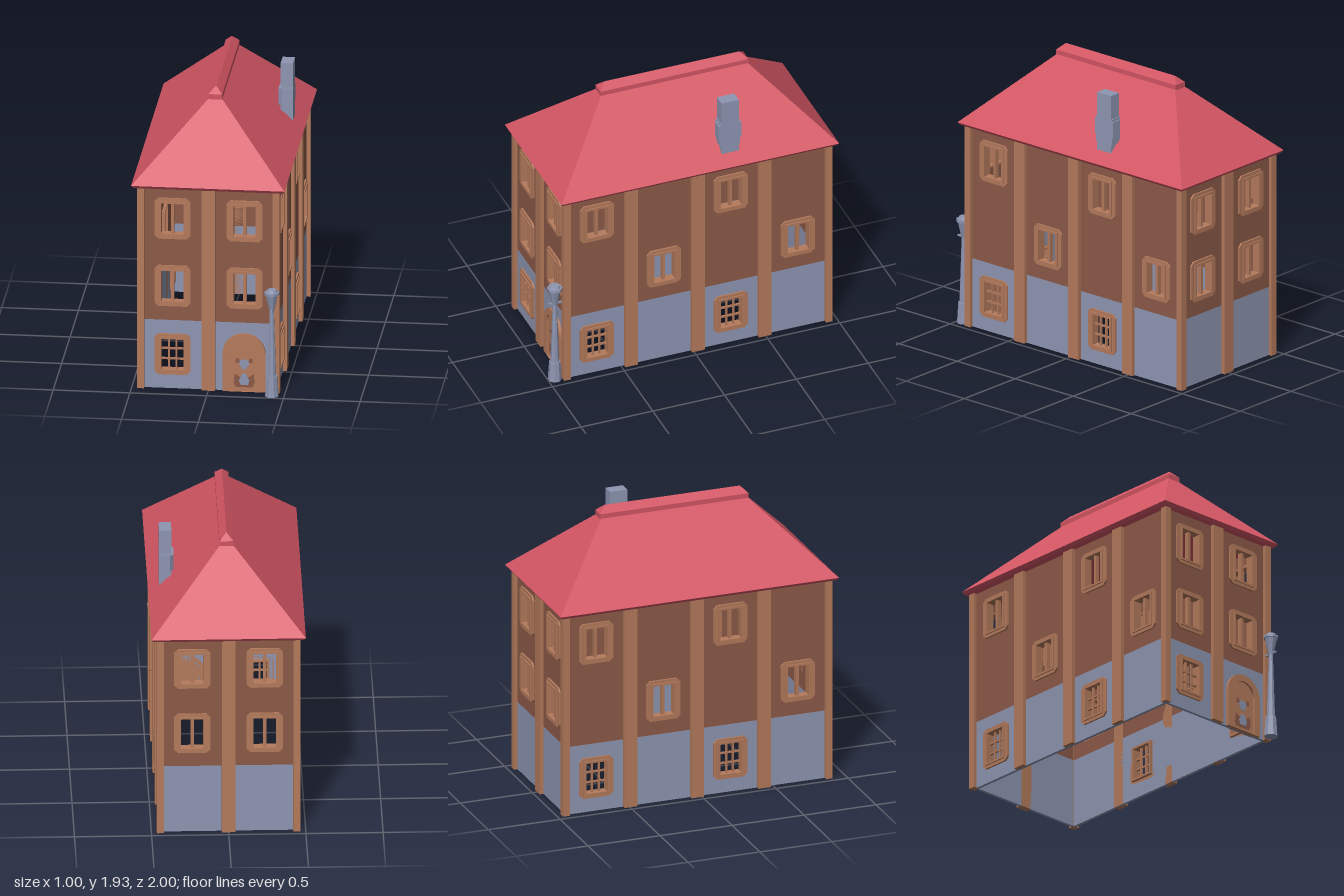
import * as THREE from 'three';

const mat = (name, color) => {
  const m = new THREE.MeshStandardMaterial({ color });
  m.name = name;
  return m;
};

export function createModel() {
  const plaster = mat('brown plaster', 0x8c5a48);
  const wood = mat('light wood', 0xb47a5c);
  const stone = mat('blue grey stone', 0x8e96b2);
  const tile = mat('red tile', 0xd25563);

  const model = new THREE.Group();
  model.name = 'townHouse';
  const house = new THREE.Group();
  house.name = 'house';
  house.position.z = -0.03;
  model.add(house);

  const add = (parent, name, geo, material, x = 0, y = 0, z = 0) => {
    const m = new THREE.Mesh(geo, material);
    m.name = name;
    m.position.set(x, y, z);
    parent.add(m);
    return m;
  };
  const box = (parent, name, material, w, h, d, x, y, z) =>
    add(parent, name, new THREE.BoxGeometry(w, h, d), material, x, y, z);
  const extrude = (shape, depth) =>
    new THREE.ExtrudeGeometry(shape, { depth, bevelEnabled: false, curveSegments: 10 });
  const poly = (pts, Type = THREE.Shape) => new Type(pts.map(p => new THREE.Vector2(...p)));

  // Rectangle outline, optionally with chamfered corners
  const rectPts = (cx, cy, w, h, c = 0) => {
    const x = w / 2, y = h / 2;
    const pts = c
      ? [[-x + c, -y], [x - c, -y], [x, -y + c], [x, y - c], [x - c, y], [-x + c, y], [-x, y - c], [-x, -y + c]]
      : [[-x, -y], [x, -y], [x, y], [-x, y]];
    return pts.map(([a, b]) => [a + cx, b + cy]);
  };
  const ring = (w, h, c, iw, ih) => {
    const s = poly(rectPts(0, 0, w, h, c));
    s.holes.push(poly(rectPts(0, 0, iw, ih).reverse(), THREE.Path));
    return s;
  };

  // Stack of rectangles [halfX, halfZ, y] closed at both ends
  const loft = (levels) => {
    const pos = [];
    const rings = levels.map(([x, z, y]) => [[x, y, z], [x, y, -z], [-x, y, -z], [-x, y, z]]);
    const quad = (a, b, c, d) => [a, b, c, a, c, d].forEach(p => pos.push(...p));
    for (let k = 0; k < rings.length - 1; k++) {
      const a = rings[k], b = rings[k + 1];
      for (let i = 0; i < 4; i++) quad(a[i], a[(i + 1) % 4], b[(i + 1) % 4], b[i]);
    }
    quad(...[...rings[0]].reverse());
    quad(...rings[rings.length - 1]);
    const g = new THREE.BufferGeometry();
    g.setAttribute('position', new THREE.Float32BufferAttribute(pos, 3));
    g.computeVertexNormals();
    return g;
  };

  // Window: stepped frame through the wall, with mullion or lattice
  const LOW = 0.237, MID = 0.708, TOP = 1.172;
  const OW = 0.145, OH = 0.21;
  const makeWindow = (parent, u, y) => {
    const g = new THREE.Group();
    g.name = 'window';
    g.position.set(u, y, 0);
    parent.add(g);
    add(g, 'outerFrame', extrude(ring(0.235, 0.28, 0.025, 0.175, 0.235), 0.032), wood, 0, 0, -0.02);
    add(g, 'innerFrame', extrude(ring(0.178, 0.238, 0, OW, OH), 0.06), wood, 0, 0, -0.04);
    if (y === LOW) {
      for (const s of [-1, 1]) {
        box(g, 'upright', wood, 0.012, OH, 0.014, s * 0.024, 0, -0.01);
        box(g, 'crossbar', wood, OW, 0.012, 0.013, 0, s * 0.035, -0.01);
      }
    } else {
      box(g, 'mullion', wood, 0.02, OH, 0.03, 0, 0, -0.015);
    }
  };

  // Wall: stone base and plaster upper, pierced at each window
  const T = 0.02, SPLIT = 0.47, H = 1.39;
  const makeWall = (name, width, angle, x, z, windows, posts) => {
    const g = new THREE.Group();
    g.name = name;
    g.rotation.y = angle;
    g.position.set(x, 0, z);
    house.add(g);
    for (const [part, y0, y1, m] of [['stoneBase', 0, SPLIT, stone], ['plasterWall', SPLIT, H, plaster]]) {
      const s = poly(rectPts(0, (y0 + y1) / 2, width, y1 - y0));
      for (const [u, y] of windows) {
        if (y > y0 && y < y1) s.holes.push(poly(rectPts(u, y, 0.17, 0.23).reverse(), THREE.Path));
      }
      add(g, part, extrude(s, T), m, 0, 0, -T);
    }
    windows.forEach(([u, y]) => makeWindow(g, u, y));
    posts.forEach(u => box(g, 'post', wood, 0.088, H, 0.045, u, H / 2, 0.0025));
    return g;
  };

  const WX = 0.44, WZ = 0.91;
  const pair = [[-0.235, TOP], [0.235, TOP], [-0.235, MID], [0.235, MID]];
  const sideWindows = [[-0.7, TOP], [-0.7, LOW], [-0.233, MID], [0.233, TOP], [0.233, LOW], [0.7, MID]];
  const sidePosts = [-0.465, 0, 0.465];
  const front = makeWall('frontWall', WX * 2, 0, 0, WZ, [...pair, [-0.235, LOW]], [0]);
  makeWall('backWall', WX * 2, Math.PI, 0, -WZ, pair, [0]);
  makeWall('leftWall', WZ * 2, Math.PI / 2, WX, 0, sideWindows, sidePosts);
  makeWall('rightWall', WZ * 2, -Math.PI / 2, -WX, 0, sideWindows, sidePosts);
  for (const sx of [-1, 1]) for (const sz of [-1, 1]) {
    box(house, 'cornerPost', wood, 0.046, H, 0.046, sx * 0.442, H / 2, sz * 0.912);
  }

  // Arched door
  const arch = (r, spring, Type = THREE.Shape) => {
    const s = new Type();
    s.moveTo(-r, 0);
    s.lineTo(r, 0);
    s.lineTo(r, spring);
    s.absarc(0, spring, r, 0, Math.PI, false);
    s.lineTo(-r, 0);
    return s;
  };
  const door = new THREE.Group();
  door.name = 'door';
  door.position.set(0.232, 0, 0);
  front.add(door);
  const surround = arch(0.14, 0.258);
  surround.holes.push(arch(0.094, 0.258, THREE.Path));
  add(door, 'doorFrame', extrude(surround, 0.04), wood, 0, 0, -0.02);
  add(door, 'doorLeaf', extrude(arch(0.095, 0.258), 0.03), wood, 0, 0, -0.024);
  // Thin door ornaments
  const ornament = (name, pts, m, z) => add(door, name, extrude(poly(pts), 0.003), m, 0, 0, z);
  for (const s of [-1, 1]) box(door, 'hinge', plaster, 0.025, 0.03, 0.003, s * 0.043, 0.21, 0.007);
  ornament('upperPlate', [[-0.012, 0.15], [0.012, 0.15], [0.032, 0.185], [0.03, 0.21], [0, 0.22], [-0.03, 0.21], [-0.032, 0.185]], stone, 0.006);
  ornament('lowerBacking', [[-0.055, 0.028], [0.055, 0.028], [0.068, 0.055], [0.062, 0.12], [0.035, 0.1], [-0.035, 0.1], [-0.062, 0.12], [-0.068, 0.055]], plaster, 0.006);
  ornament('lowerPlate', [[-0.025, 0.045], [0.025, 0.045], [0.034, 0.075], [0.012, 0.122], [-0.012, 0.122], [-0.034, 0.075]], stone, 0.008);

  // Hipped roof and ridge cap
  add(house, 'roof', loft([[0.485, 0.952, 1.385], [0.5, 0.967, 1.405], [0.043, 0.51, 1.862]]), tile);
  add(house, 'ridgeCap', loft([[0.045, 0.515, 1.855], [0.045, 0.515, 1.892], [0.001, 0.47, 1.935]]), tile);

  // Chimney with a wider band
  const chimney = new THREE.Group();
  chimney.name = 'chimney';
  chimney.position.set(0.39, 0, -0.235);
  house.add(chimney);
  box(chimney, 'stack', stone, 0.08, 0.4, 0.12, 0, 1.67, 0);
  const bandPlan = poly([[-0.055, -0.053], [-0.03, -0.078], [0.041, -0.078], [0.041, 0.078], [-0.03, 0.078], [-0.055, 0.053]]);
  add(chimney, 'band', extrude(bandPlan, 0.11), stone, 0, 1.582, 0).rotation.x = -Math.PI / 2;
  box(chimney, 'bandCore', stone, 0.081, 0.175, 0.136, 0, 1.62, 0);

  // Street lamp: eight-sided tapered sections [name, bottom radius, top radius, y0, y1]
  const lamp = new THREE.Group();
  lamp.name = 'streetLamp';
  lamp.position.set(0.42, 0, 0.953);
  model.add(lamp);
  const sections = [
    ['foot', 0.046, 0.037, 0, 0.14],
    ['post', 0.029, 0.014, 0.14, 0.59],
    ['lantern', 0.016, 0.042, 0.585, 0.7],
    ['lanternRim', 0.05, 0.05, 0.698, 0.715],
    ['lanternCap', 0.038, 0.03, 0.715, 0.733],
  ];
  for (const [name, r0, r1, y0, y1] of sections) {
    const g = new THREE.CylinderGeometry(r1, r0, y1 - y0, 8).toNonIndexed();
    g.rotateY(Math.PI / 8);
    g.computeVertexNormals();
    add(lamp, name, g, stone, 0, (y0 + y1) / 2, 0);
  }
  box(lamp, 'ladderBar', stone, 0.012, 0.012, 0.094, 0, 0.592, 0);

  return model;
}
